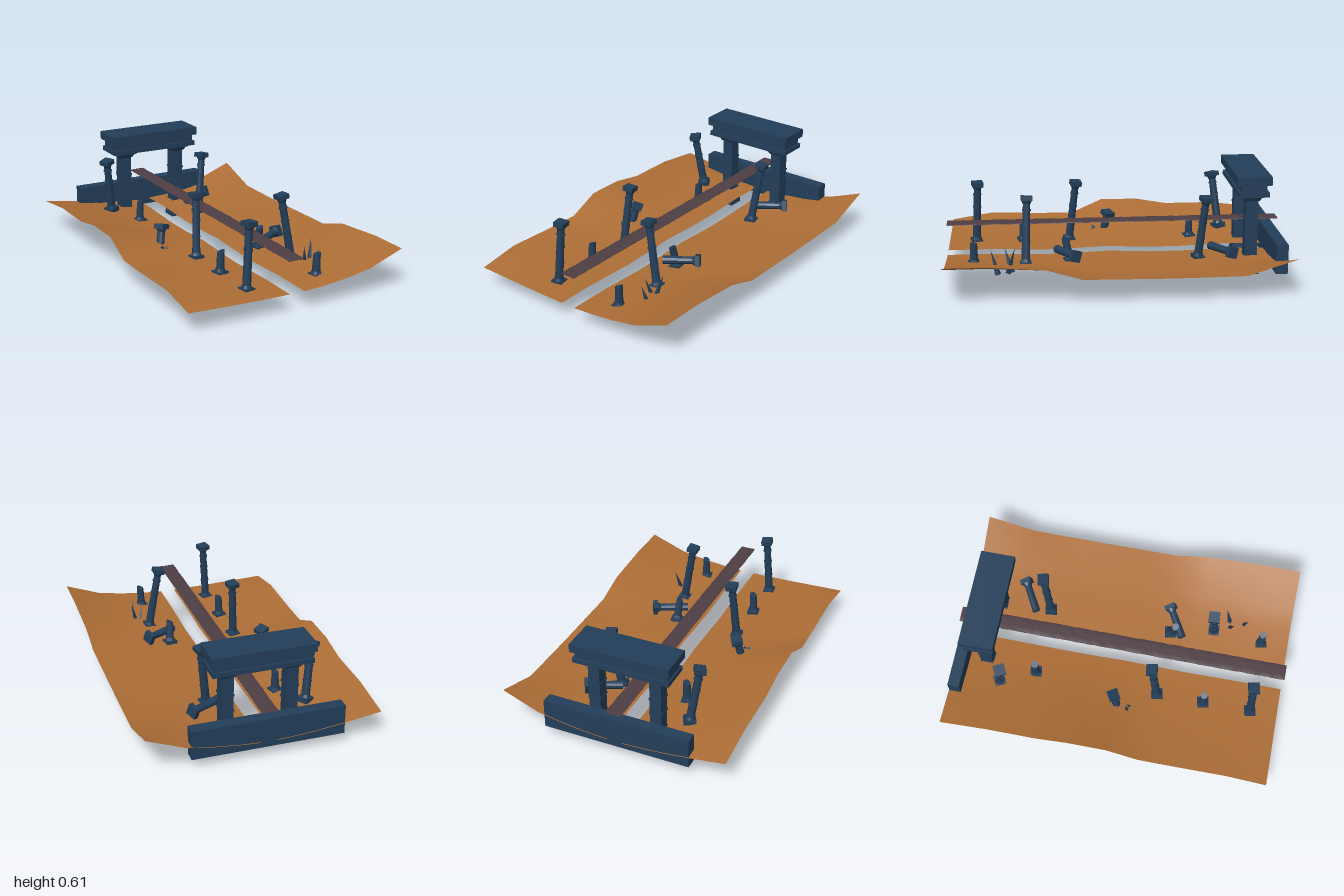
import * as THREE from 'three';

export function createModel() {
  const model = new THREE.Group();
  const mat = (name, color, extra = {}) => {
    const m = new THREE.MeshStandardMaterial({ color, ...extra });
    m.name = name;
    return m;
  };
  const stone = mat('blue stone', 0x233e59, { flatShading: true });
  const sand = mat('orange sand', 0xad6e36, { side: THREE.DoubleSide });
  const path = mat('mauve path', 0x4e3e44);

  let seed = 7;
  const rand = () => (seed = (seed * 16807) % 2147483647) / 2147483647 - 0.5;

  const add = (parent, name, geometry, material, x = 0, y = 0, z = 0) => {
    const mesh = new THREE.Mesh(geometry, material);
    mesh.name = name;
    mesh.position.set(x, y, z);
    parent.add(mesh);
    return mesh;
  };
  const box = (parent, name, w, h, d, x, y, z) =>
    add(parent, name, new THREE.BoxGeometry(w, h, d), stone, x, y, z);
  // square frustum, sized by its half widths
  const frustum = (parent, name, top, bottom, h, x, y, z) =>
    add(parent, name, new THREE.CylinderGeometry(top * Math.SQRT2, bottom * Math.SQRT2, h, 4)
      .rotateY(Math.PI / 4), stone, x, y, z);

  // grid surface from a function (row, column) -> [x, y, z]
  const sheet = (rows, cols, fn) => {
    const p = [], idx = [];
    for (let i = 0; i < rows; i++) for (let j = 0; j < cols; j++) {
      p.push(...fn(i, j));
      if (i < rows - 1 && j < cols - 1) {
        const a = i * cols + j, b = a + 1, c = a + cols, d = c + 1;
        idx.push(a, c, b, b, c, d);
      }
    }
    const g = new THREE.BufferGeometry();
    g.setAttribute('position', new THREE.Float32BufferAttribute(p, 3));
    g.setIndex(idx);
    g.computeVertexNormals();
    return g;
  };

  // two dune banks: low beside the path, rising to an uneven outer edge
  const rowsZ = [-0.99, -0.7, -0.4, -0.2, 0.03, 0.22, 0.42, 0.75, 1];
  const leftEdge = [0.24, 0.148, 0.145, 0.145, 0.148, 0.15, 0.21, 0.235, 0.235];
  const rightEdge = [0.165, 0.2, 0.2, 0.235, 0.235, 0.15, 0.15, 0.16, 0.12];
  const leftRise = [0, 0.06, 0.18, 0.38, 1];
  const rightRise = [0, 0.08, 0.25, 0.52, 1];
  const across = [0, 0.2, 0.42, 0.66, 1];
  const bank = (inner, outer, edge, rise) => {
    const flip = outer < inner;
    return sheet(rowsZ.length, across.length, (i, j) => {
      const k = flip ? across.length - 1 - j : j;
      const low = 0.1 + 0.007 * Math.sin(i * 1.9);
      return [inner + (outer - inner) * across[k], low + rise[k] * (edge[i] - low), rowsZ[i]];
    });
  };
  add(model, 'leftBank', bank(0.027, 0.675, leftEdge, leftRise), sand);
  add(model, 'rightBank', bank(-0.065, -0.68, rightEdge, rightRise), sand);

  // floating path with ragged, turned-down edges
  const pathX = [-0.066, -0.064, -0.034, -0.004, 0.026, 0.028];
  add(model, 'path', sheet(81, 6, (i, j) => [
    pathX[j] + rand() * (j > 1 && j < 4 ? 0.01 : 0.003),
    (j % 5 ? 0.291 : 0.286) + rand() * 0.003,
    -1 + i * 0.025,
  ]), path);

  // gate: two posts under a stepped lintel
  const gate = new THREE.Group();
  gate.name = 'gate';
  model.add(gate);
  for (const x of [-0.203, 0.171]) {
    frustum(gate, 'postFoot', 0.04, 0.05, 0.1, x, 0.05, -0.805);
    box(gate, 'postShaft', 0.07, 0.4, 0.075, x, 0.28, -0.805);
    for (const y of [0.11, 0.24, 0.335]) box(gate, 'postBand', 0.077, 0.012, 0.083, x, y, -0.805);
    frustum(gate, 'postCapital', 0.056, 0.042, 0.025, x, 0.4625, -0.805);
    box(gate, 'postCap', 0.13, 0.014, 0.13, x, 0.482, -0.805);
  }
  box(gate, 'lintelMoulding', 0.58, 0.028, 0.18, -0.018, 0.501, -0.805);
  box(gate, 'lintelBeam', 0.56, 0.047, 0.15, -0.018, 0.538, -0.805);
  box(gate, 'lintelTop', 0.595, 0.05, 0.205, -0.018, 0.585, -0.805);
  box(model, 'backWall', 0.883, 0.175, 0.07, -0.023, 0.1525, -0.95);

  // round column from foot to head, with optional base and capital
  const up = new THREE.Vector3(0, 1, 0);
  const column = (name, from, to, { base = true, cap = true, turn = 0.2 } = {}) => {
    const a = new THREE.Vector3(...from), dir = new THREE.Vector3(...to).sub(a);
    const len = dir.length();
    const g = new THREE.Group();
    g.name = name;
    g.position.copy(a);
    g.quaternion.setFromUnitVectors(up, dir.normalize())
      .multiply(new THREE.Quaternion().setFromAxisAngle(up, turn));
    model.add(g);
    const shaft = new THREE.CylinderGeometry(0.021, 0.025, len - 0.01, 10);
    if (!cap) { // snapped, slanting end
      const p = shaft.attributes.position;
      for (let i = 0; i < p.count; i++) if (p.getY(i) > 0)
        p.setY(i, p.getY(i) + p.getX(i) * 0.35 + p.getZ(i) * 0.2);
    }
    add(g, 'shaft', shaft, stone, 0, len / 2, 0);
    if (base) {
      box(g, 'base', 0.068, 0.03, 0.068, 0, 0.013, 0);
      add(g, 'baseRing', new THREE.CylinderGeometry(0.026, 0.032, 0.018, 10), stone, 0, 0.036, 0);
    }
    if (cap) {
      add(g, 'neck', new THREE.CylinderGeometry(0.032, 0.022, 0.02, 10), stone, 0, len - 0.037, 0);
      box(g, 'capital', 0.066, 0.028, 0.066, 0, len - 0.014, 0);
    }
    if (len > 0.25) for (const t of [0.35, 0.6, 0.8])
      add(g, 'ring', new THREE.CylinderGeometry(0.026, 0.026, 0.008, 10), stone, 0, len * t, 0);
  };

  // standing columns, all leaning
  column('frontRightColumn', [-0.24, 0.09, 0.835], [-0.215, 0.49, 0.818]);
  column('frontLeftColumn', [0.24, 0.09, 0.535], [0.17, 0.5, 0.52], { turn: 0.05 });
  column('middleRightColumn', [-0.24, 0.09, 0.262], [-0.215, 0.485, 0.215], { turn: 0.15 });
  column('backLeftColumn', [0.18, 0.09, -0.49], [0.225, 0.485, -0.53]);
  column('backRightColumn', [-0.342, 0.13, -0.7], [-0.388, 0.485, -0.655], { turn: 0.5 });

  // broken stumps
  for (const [x, z] of [[0.21, 0.835], [-0.24, 0.545], [-0.24, -0.495]])
    column('stump', [x, 0.09, z], [x + 0.004, 0.24, z], { cap: false });
  column('leaningStump', [0.175, 0.09, 0.268], [0.165, 0.24, 0.3], { cap: false });
  column('tiltedStump', [-0.362, 0.12, 0.035], [-0.335, 0.25, 0.007], { base: false, turn: 0.5 });

  // fallen columns
  for (const z of [0.25, -0.67])
    column('fallenColumn', [0.13, 0.16, z + 0.1], [0.325, 0.17, z - 0.01], { base: false });

  // rubble and upright shards
  const piece = (name, r, h, x, y, z, rx, rz) =>
    add(model, name, new THREE.ConeGeometry(r, h, 4), stone, x, y, z).rotation.set(rx, 0.5, rz);
  piece('rubble', 0.024, 0.04, -0.38, 0.135, 0.1, 0.3, 0.4);
  piece('rubble', 0.02, 0.035, -0.355, 0.13, 0.105, -0.4, -0.2);
  piece('shard', 0.02, 0.15, 0.265, 0.14, 0.635, 0.15, 0.25);
  piece('shard', 0.02, 0.17, 0.315, 0.155, 0.615, -0.12, -0.25);
  piece('shard', 0.02, 0.15, 0.3, 0.14, 0.715, 0.2, 0.15);

  return model;
}
